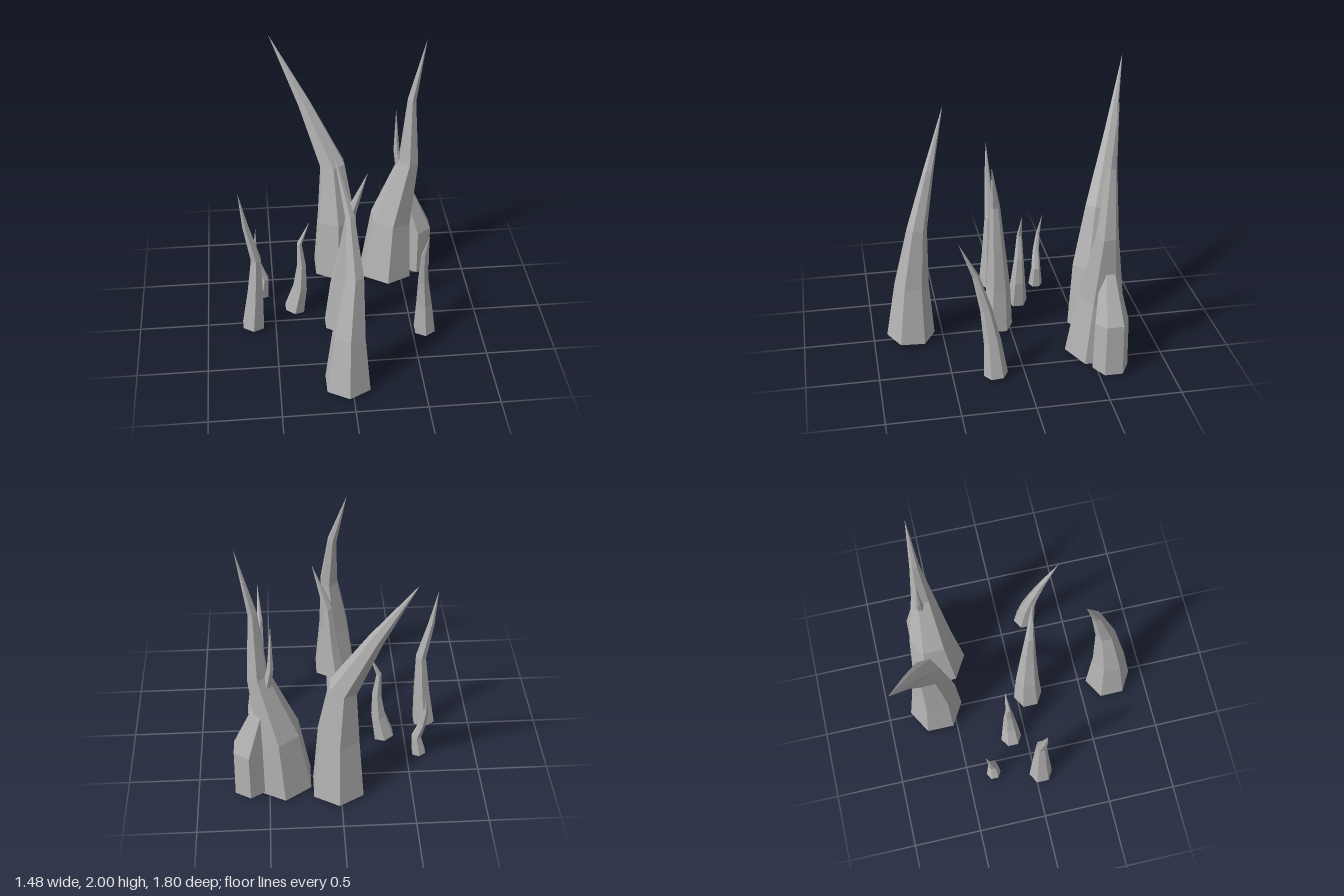
import * as THREE from 'three';

const SIDES = 6;

// Each spike: rings as [x, y, z, radius] from base to top, ending in a point.
const SPIKES = {
  frontSpike: [[-0.03, 0.02, 0.73, 0.173], [-0.02, 0.45, 0.71, 0.122], [0.018, 0.9, 0.66, 0.07], [-0.005, 1.32, 0.565, 0.035], [-0.1, 1.75, 0.445, 0]],
  backSpike: [[0.018, 0.018, -0.63, 0.2], [0.015, 0.5, -0.62, 0.16], [-0.013, 0.95, -0.65, 0.1], [-0.21, 1.42, -0.765, 0.047], [-0.45, 1.92, -0.895, 0]],
  tallSpike: [[0.39, 0.02, -0.537, 0.21], [0.425, 0.5, -0.56, 0.16], [0.55, 1.01, -0.56, 0.078], [0.56, 1.51, -0.57, 0.033], [0.655, 2.0, -0.57, 0]],
  sideSpike: [[0.633, 0.018, -0.595, 0.125], [0.633, 0.38, -0.595, 0.118], [0.53, 0.74, -0.585, 0.055], [0.462, 1.08, -0.595, 0.024], [0.45, 1.43, -0.59, 0]],
  middleSpike: [[-0.038, 0.02, 0.088, 0.11], [-0.015, 0.36, 0.085, 0.088], [0.025, 0.7, 0.1, 0.06], [0.053, 1.04, 0.115, 0.035], [0.16, 1.38, 0.153, 0]],
  leftSpike: [[-0.665, 0.02, 0.043, 0.088], [-0.64, 0.3, 0.043, 0.064], [-0.622, 0.62, 0.045, 0.04], [-0.685, 0.92, 0.05, 0.023], [-0.725, 1.2, 0.055, 0]],
  smallSpike: [[-0.35, 0.025, -0.115, 0.078], [-0.305, 0.22, -0.115, 0.056], [-0.29, 0.42, -0.12, 0.036], [-0.302, 0.61, -0.125, 0.02], [-0.225, 0.8, -0.13, 0]],
  tinySpike: [[-0.59, 0.018, -0.308, 0.054], [-0.567, 0.17, -0.308, 0.036], [-0.607, 0.3, -0.315, 0.026], [-0.625, 0.44, -0.332, 0.015], [-0.615, 0.6, -0.362, 0]],
  rightSpike: [[0.59, 0.02, 0.205, 0.084], [0.575, 0.28, 0.225, 0.06], [0.555, 0.52, 0.263, 0.04], [0.54, 0.78, 0.33, 0.022], [0.55, 1.035, 0.443, 0]],
};

// Open six-sided tube through the rings, each ring square to the bend.
function spikeGeometry(rings) {
  const positions = [];
  const indices = [];
  rings.forEach(([x, y, z, r], i) => {
    const a = rings[Math.max(i - 1, 0)];
    const b = rings[Math.min(i + 1, rings.length - 1)];
    const slopeX = (b[0] - a[0]) / (b[1] - a[1]);
    const slopeZ = (b[2] - a[2]) / (b[1] - a[1]);
    for (let k = 0; k < SIDES; k++) {
      const angle = (k / SIDES) * Math.PI * 2;
      const ox = r * Math.sin(angle);
      const oz = r * Math.cos(angle);
      positions.push(x + ox, y - slopeX * ox - slopeZ * oz, z + oz);
      if (i === 0) continue;
      const top = i * SIDES + k;
      const topNext = i * SIDES + (k + 1) % SIDES;
      indices.push(top - SIDES, topNext - SIDES, top);
      if (r > 0) indices.push(topNext - SIDES, topNext, top);
    }
  });
  const indexed = new THREE.BufferGeometry();
  indexed.setAttribute('position', new THREE.Float32BufferAttribute(positions, 3));
  indexed.setIndex(indices);
  const geometry = indexed.toNonIndexed();
  geometry.computeVertexNormals();
  return geometry;
}

export function createModel() {
  const group = new THREE.Group();
  group.name = 'spikeCluster';
  const stone = new THREE.MeshStandardMaterial({ color: 0xb4b4b4, flatShading: true, side: THREE.DoubleSide });
  stone.name = 'greyStone';
  for (const [name, rings] of Object.entries(SPIKES)) {
    const mesh = new THREE.Mesh(spikeGeometry(rings), stone);
    mesh.name = name;
    group.add(mesh);
  }
  return group;
}
